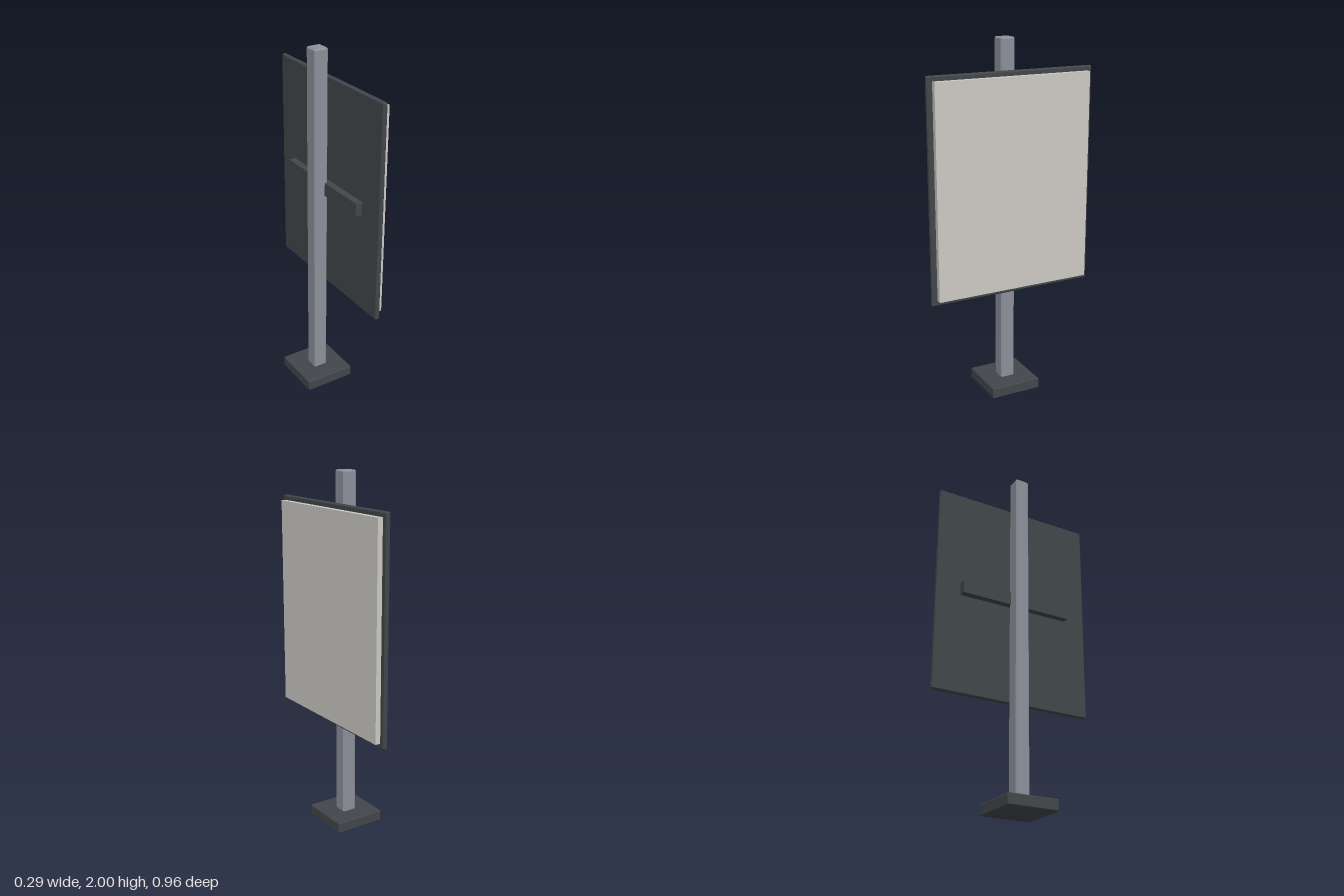
import * as THREE from 'three';
import { ConvexGeometry } from 'three/addons/geometries/ConvexGeometry.js';

// Box with chamfered edges, from its 24 corner points
function chamferBox(w, h, d, c) {
  const pts = [];
  for (const sx of [-1, 1]) for (const sy of [-1, 1]) for (const sz of [-1, 1]) {
    const x = w / 2, y = h / 2, z = d / 2;
    pts.push(
      new THREE.Vector3(sx * x, sy * (y - c), sz * (z - c)),
      new THREE.Vector3(sx * (x - c), sy * y, sz * (z - c)),
      new THREE.Vector3(sx * (x - c), sy * (y - c), sz * z));
  }
  return new ConvexGeometry(pts);
}

export function createModel() {
  const group = new THREE.Group();
  const material = (name, color) => {
    const m = new THREE.MeshStandardMaterial({ color });
    m.name = name;
    return m;
  };
  const dark = material('dark metal', 0x42474b);
  const grey = material('grey metal', 0x8d919b);
  const pale = material('pale panel', 0xcecbc5);

  // Each part is given by its lower and upper bounds
  function part(name, mat, [x0, y0, z0], [x1, y1, z1], chamfer = 0) {
    const w = x1 - x0, h = y1 - y0, d = z1 - z0;
    const geo = chamfer ? chamferBox(w, h, d, chamfer) : new THREE.BoxGeometry(w, h, d);
    const mesh = new THREE.Mesh(geo, mat);
    mesh.name = name;
    mesh.position.set((x0 + x1) / 2, (y0 + y1) / 2, (z0 + z1) / 2);
    group.add(mesh);
  }

  // Foot and upright
  part('basePlate', dark, [-0.147, 0, -0.147], [0.147, 0.063, 0.147], 0.005);
  part('post', grey, [-0.041, 0.055, -0.041], [0.041, 2, 0.041], 0.007);
  // Crossbar behind the board
  part('crossbar', dark, [0.022, 1.185, -0.338], [0.062, 1.26, 0.338]);
  // Board: backing with a raised panel
  part('backingBoard', dark, [0.068, 0.61, -0.481], [0.095, 1.835, 0.481], 0.006);
  part('displayPanel', pale, [0.094, 0.64, -0.452], [0.125, 1.808, 0.452]);

  return group;
}
